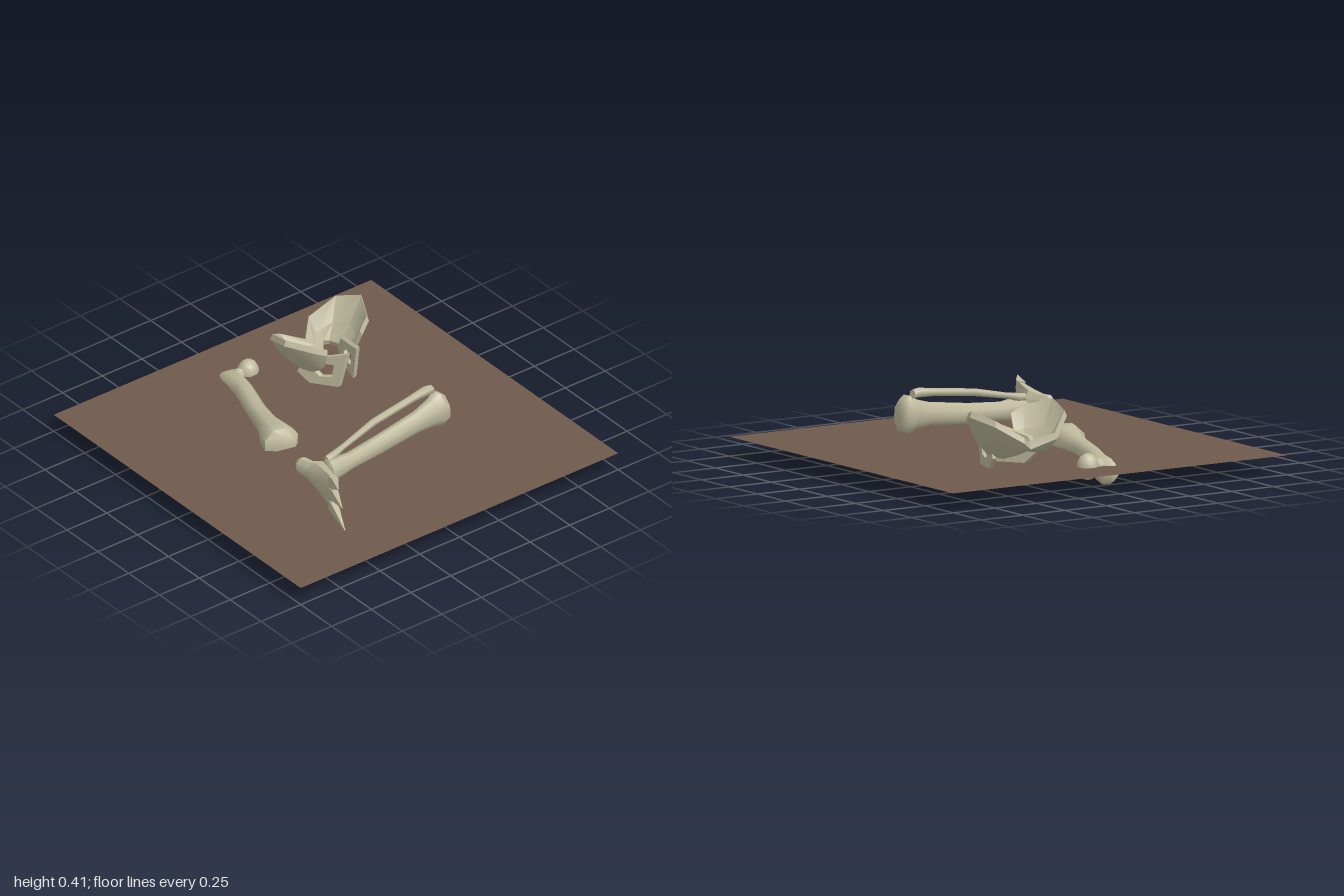
import * as THREE from 'three';
import { toCreasedNormals } from 'three/addons/utils/BufferGeometryUtils.js';

const boneMat = new THREE.MeshStandardMaterial({ color: 0xc0bb9e });
boneMat.name = 'bone';
const earthMat = new THREE.MeshStandardMaterial({ color: 0x705a4c, side: THREE.DoubleSide });
earthMat.name = 'earth';

// Skin a list of equal closed rings; either cap the ends or join last to first.
function loft(rings, { joined = false, crease = 1 } = {}) {
  const n = rings[0].length, m = rings.length;
  const pts = rings.flat().map((p) => p.clone());
  const idx = [];
  for (let i = 0; i < (joined ? m : m - 1); i++) {
    for (let j = 0; j < n; j++) {
      const a = i * n + j, b = i * n + (j + 1) % n;
      const c = ((i + 1) % m) * n + j, d = ((i + 1) % m) * n + (j + 1) % n;
      idx.push(a, b, c, b, d, c);
    }
  }
  if (!joined) {
    [0, m - 1].forEach((r) => {
      const mid = new THREE.Vector3();
      rings[r].forEach((p) => mid.addScaledVector(p, 1 / n));
      const k = pts.push(mid) - 1;
      for (let j = 0; j < n; j++) {
        const a = r * n + j, b = r * n + (j + 1) % n;
        if (r === 0) idx.push(k, b, a); else idx.push(k, a, b);
      }
    });
  }
  // Turn the faces outward if the enclosed volume is negative.
  let volume = 0;
  const t = new THREE.Vector3();
  for (let i = 0; i < idx.length; i += 3) {
    volume += pts[idx[i]].dot(t.crossVectors(pts[idx[i + 1]], pts[idx[i + 2]]));
  }
  if (volume < 0) idx.reverse();
  const geo = new THREE.BufferGeometry().setFromPoints(pts);
  geo.setIndex(idx);
  return toCreasedNormals(geo, crease);
}

function mesh(name, geo, parent, mat = boneMat) {
  const m = new THREE.Mesh(geo, mat);
  m.name = name;
  parent.add(m);
  return m;
}

// Elliptic sections along a path: [x, y, z, sideways radius, upward radius].
function bone(name, stations, parent, sides = 8, crease = 1) {
  const c = stations.map((s) => new THREE.Vector3(s[0], s[1], s[2]));
  const axis = c[c.length - 1].clone().sub(c[0]).normalize();
  const side = new THREE.Vector3(0, 1, 0).cross(axis).normalize();
  const up = axis.clone().cross(side);
  const rings = stations.map((s, i) => Array.from({ length: sides }, (_, j) => {
    const a = ((j + 0.5) / sides) * Math.PI * 2, k = 1 / Math.cos(Math.PI / sides);
    return c[i].clone().addScaledVector(side, Math.cos(a) * s[3] * k)
      .addScaledVector(up, Math.sin(a) * s[4] * k);
  }));
  return mesh(name, loft(rings, { crease }), parent);
}

// One hip half: flared wing bowl plus the pierced lower plate.
function hipHalf(sign, parent) {
  const v = (x, y, z) => new THREE.Vector3(x * sign, y, z);
  const outer = [[0, .23, -.12], [.105, .28, -.195], [.236, .37, -.13],
    [.28, .41, 0], [.193, .375, .115], [.12, .335, .135]];
  const inner = [[0, .21, 0], [.085, .2, -.075], [.115, .19, -.065],
    [.125, .19, -.01], [.12, .2, .04], [.105, .22, .075]];
  const wing = outer.map((o, i) => {
    const q = inner[i], mid = o.map((e, k) => e * .5 + q[k] * .5);
    if (i > 0) mid[1] -= .025;
    const len = Math.hypot(o[0], o[2]);
    const line = [o, mid, q];
    const back = line.map(([x, y, z]) => v(i ? x + o[0] / len * .012 : x, y - .03, z + o[2] / len * .012));
    return [...line.map((p) => v(...p)), ...back.reverse()];
  });
  mesh('hipWing', loft(wing, { crease: .6 }), parent);

  // Lower plate: outer and hole outlines as [z, y], leaning inward to the front.
  const rim = [[.2, .3], [.16, .1], [.05, .075], [-.03, .16], [.01, .235], [.13, .275]];
  const hole = [[.14, .225], [.13, .155], [.075, .145], [.045, .18], [.06, .21], [.1, .225]];
  const at = ([z, y], t) => v(.135 - .5 * z + t, y, z);
  const plate = rim.map((r, i) => [at(r, -.013), at(hole[i], -.013), at(hole[i], .013), at(r, .013)]);
  mesh('hipLowerPlate', loft(plate, { joined: true, crease: .6 }), parent);
}

export function createModel() {
  const root = new THREE.Group();
  root.name = 'scatteredBones';

  // Ground sheet that the bones are partly sunk into
  const ground = mesh('ground', new THREE.PlaneGeometry(2, 2), root, earthMat);
  ground.rotation.x = -Math.PI / 2;
  ground.position.y = .1;

  // Thigh bone with neck and ball
  const thigh = new THREE.Group();
  thigh.name = 'thighBone';
  root.add(thigh);
  bone('thighShaft', [
    [-.28, .12, -.045, .05, .055], [-.285, .12, -.075, .09, .08], [-.27, .12, -.13, .088, .078],
    [-.235, .115, -.25, .055, .057], [-.2, .113, -.38, .047, .05], [-.13, .11, -.58, .045, .05],
    [-.1, .08, -.68, .053, .062], [-.095, .068, -.74, .052, .066], [-.105, .068, -.77, .035, .045],
  ], thigh);
  bone('thighNeck', [[-.1, .09, -.72, .04, .045], [-.05, .1, -.72, .03, .035], [0, .1, -.72, .03, .04]], thigh);
  const ball = mesh('thighBall', new THREE.SphereGeometry(.062, 10, 8), thigh);
  ball.position.set(.005, .1, -.72);
  ball.scale.set(.95, 1.1, .85);

  // Shin pair
  const shin = new THREE.Group();
  shin.name = 'shin';
  root.add(shin);
  bone('shinBone', [
    [-.345, .205, .37, .03, .05], [-.335, .205, .37, .043, .064], [-.28, .205, .37, .038, .058],
    [-.2, .205, .362, .034, .046], [0, .215, .345, .035, .051], [.25, .24, .328, .038, .058],
    [.35, .25, .318, .05, .075], [.4, .255, .31, .064, .095], [.43, .25, .31, .058, .08],
    [.442, .25, .31, .035, .05],
  ], shin);
  bone('outerShinBone', [
    [-.335, .262, .352, .016, .02], [-.3, .268, .35, .018, .018], [-.22, .285, .338, .013, .013],
    [0, .328, .305, .017, .017], [.25, .355, .287, .018, .017], [.35, .363, .281, .024, .022],
    [.385, .36, .28, .02, .02],
  ], shin, 6, 1.2);

  // Foot lying on its side, with three pointed toes
  const foot = new THREE.Group();
  foot.name = 'foot';
  root.add(foot);
  bone('footBody', [
    [-.43, .23, .25, .018, .025], [-.43, .23, .275, .032, .045], [-.42, .225, .33, .034, .05],
    [-.4, .215, .38, .046, .075], [-.422, .212, .47, .034, .085], [-.445, .21, .565, .018, .095],
  ], foot, 8, .6);
  [[.278, .315, .67], [.212, .22, .705], [.14, .095, .73]].forEach(([y, tipY, tipZ]) => {
    bone('toe', [[-.445, y, .54, .018, .03], [-.455, y + (tipY - y) * .2, .58, .016, .027],
      [-.507, tipY, tipZ, .001, .001]], foot, 4, .4);
  });

  // Hip basin, mirrored halves, turned slightly
  const hip = new THREE.Group();
  hip.name = 'hipBasin';
  hip.position.set(.31, 0, -.5);
  hip.rotation.y = .175;
  root.add(hip);
  [1, -1].forEach((s) => hipHalf(s, hip));

  return root;
}
